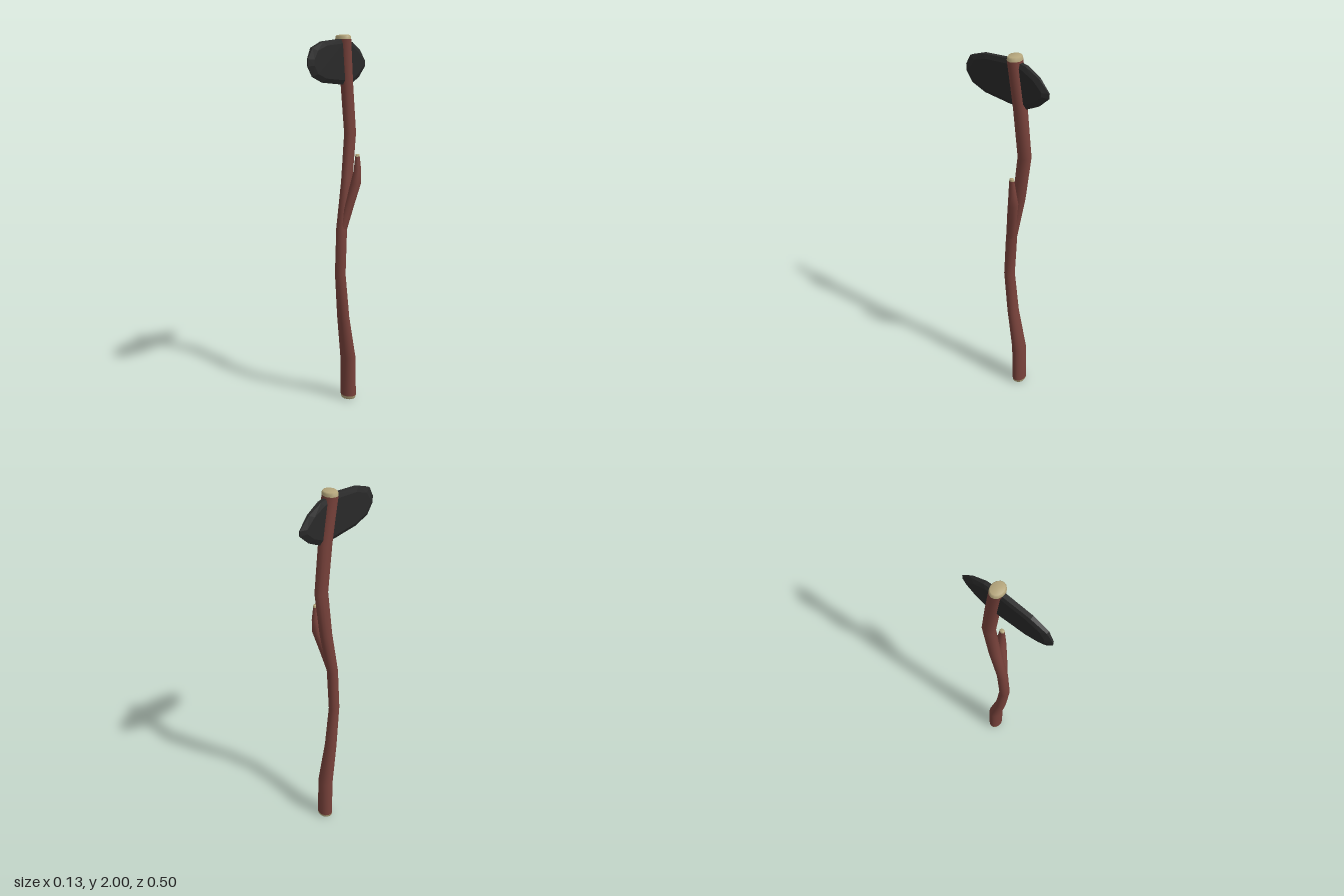
import * as THREE from 'three';
import { ConvexGeometry } from 'three/addons/geometries/ConvexGeometry.js';

const bark = new THREE.MeshStandardMaterial({ color: 0x78423b });
const cutWood = new THREE.MeshStandardMaterial({ color: 0xb5a67c });
const stone = new THREE.MeshStandardMaterial({ color: 0x2a2a2a, flatShading: true });

// Skin over level elliptical rings [x, y, z, rx, rz], listed from bottom to top
function loft(rings, sides = 14) {
  const pos = [], index = [];
  for (const [x, y, z, rx, rz] of rings)
    for (let j = 0; j < sides; j++) {
      const a = (j / sides) * Math.PI * 2;
      pos.push(x + rx * Math.cos(a), y, z + rz * Math.sin(a));
    }
  for (let i = 0; i < rings.length - 1; i++)
    for (let j = 0; j < sides; j++) {
      const a = i * sides + j, b = i * sides + (j + 1) % sides;
      index.push(a, a + sides, b, a + sides, b + sides, b);
    }
  const g = new THREE.BufferGeometry();
  g.setAttribute('position', new THREE.Float32BufferAttribute(pos, 3));
  g.setIndex(index);
  g.computeVertexNormals();
  return g;
}

// Bevelled cap on a cut end; dir is +1 for a top end, -1 for a bottom end
function cap([x, y, z, rx, rz], h, dir) {
  const rings = [
    [x, y, z, rx, rz],
    [x, y + dir * h * 0.6, z, rx * 0.96, rz * 0.96],
    [x, y + dir * h, z, rx * 0.82, rz * 0.82],
    [x, y + dir * h, z, 0, 0],
  ];
  return loft(dir > 0 ? rings : rings.reverse());
}

export function createModel() {
  const group = new THREE.Group();
  const add = (name, geometry, material) => {
    const mesh = new THREE.Mesh(geometry, material);
    mesh.name = name;
    group.add(mesh);
  };

  // Crooked handle
  const cx = -0.02;
  const handle = [
    [cx, 0.02, -0.099, 0.046, 0.037],
    [cx, 0.25, -0.094, 0.045, 0.037],
    [cx, 0.5, -0.048, 0.035, 0.03],
    [cx, 0.75, -0.02, 0.029, 0.029],
    [cx, 1.0, -0.033, 0.029, 0.03],
    [cx, 1.25, -0.08, 0.029, 0.034],
    [cx, 1.5, -0.11, 0.029, 0.037],
    [cx, 1.75, -0.08, 0.031, 0.037],
    [cx, 1.98, -0.046, 0.043, 0.035],
  ];
  add('handle', loft(handle), bark);
  add('handleBottomCut', cap(handle[0], 0.02, -1), cutWood);
  add('handleTopCut', cap(handle[handle.length - 1], 0.02, 1), cutWood);

  // Side branch stub
  const branch = [
    [-0.014, 1.0, -0.034, 0.024, 0.025],
    [0.012, 1.13, -0.059, 0.026, 0.027],
    [0.034, 1.24, -0.084, 0.028, 0.027],
    [0.043, 1.31, -0.087, 0.019, 0.022],
    [0.045, 1.385, -0.084, 0.011, 0.014],
  ];
  add('branch', loft(branch, 10), bark);
  add('branchCut', cap(branch[branch.length - 1], 0.012, 1), cutWood);

  // Chipped stone blade: outline [z, y], thin at the rim, thicker inside and towards the top
  const outline = [
    [0.251, 1.885], [0.22, 1.937], [0.135, 1.967], [-0.02, 1.98], [-0.115, 1.965],
    [-0.19, 1.925], [-0.245, 1.868], [-0.245, 1.842], [-0.19, 1.79], [-0.115, 1.752],
    [-0.02, 1.755], [0.135, 1.77], [0.215, 1.8], [0.251, 1.85],
  ];
  const points = [];
  for (const [z, y] of outline)
    for (const side of [-1, 1]) {
      const rise = Math.max(0, (y - 1.87) / 0.11);
      points.push(new THREE.Vector3(cx + side * (0.002 + 0.009 * rise), y, z));
      const innerY = 1.867 + (y - 1.867) * 0.8;
      const thick = 0.016 + 0.02 * (innerY - 1.867);
      points.push(new THREE.Vector3(cx + side * thick, innerY, z * 0.86));
    }
  add('stoneBlade', new ConvexGeometry(points), stone);

  return group;
}
